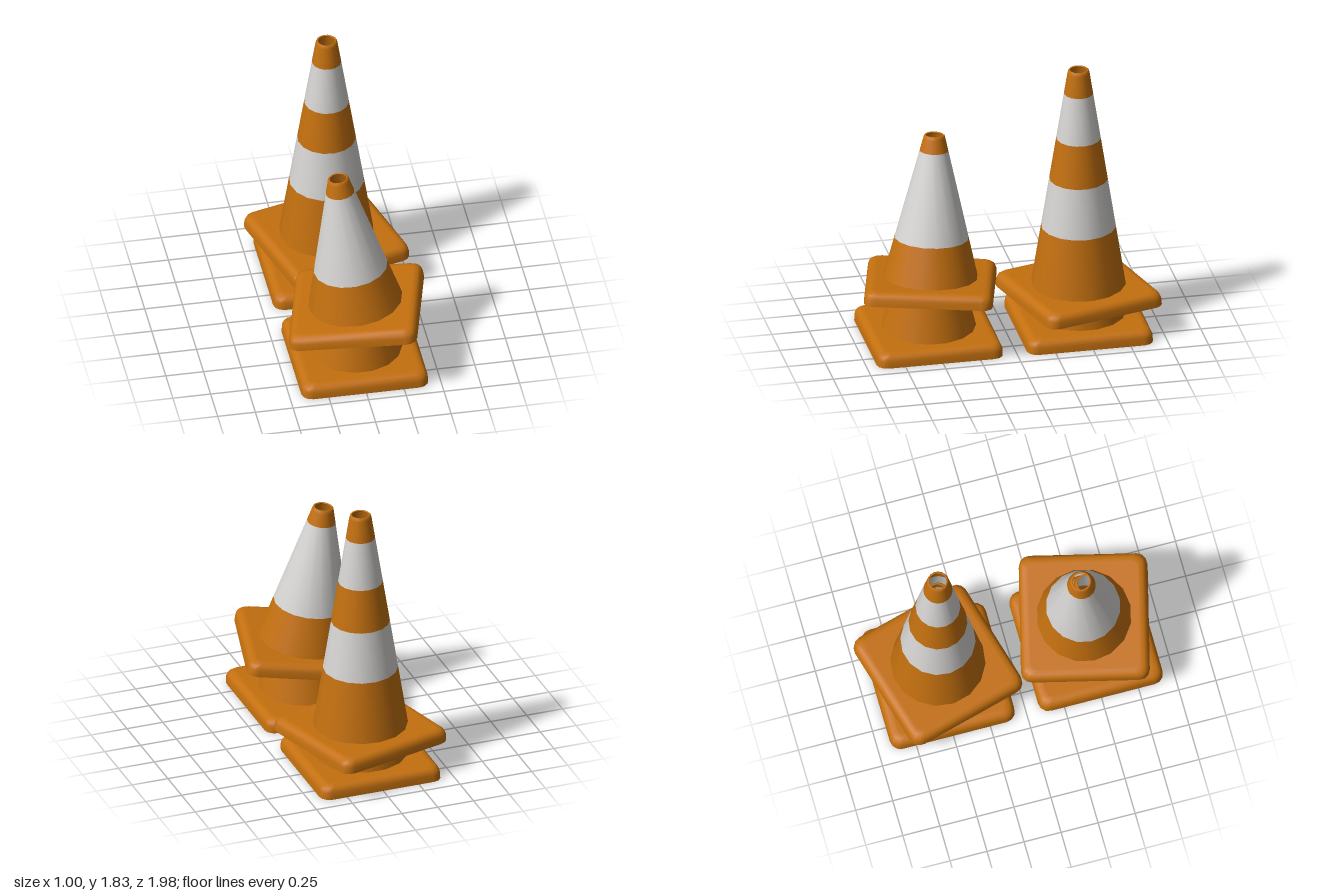
import * as THREE from 'three';

const SIDES = 16;

// Outline of a rounded square: four points on each corner, 16 in all
function roundedSquare(half, radius, y) {
  const pts = [];
  for (let c = 0; c < 4; c++) {
    const mid = Math.PI / 4 + c * Math.PI / 2;
    const cx = Math.sign(Math.cos(mid)) * (half - radius);
    const cz = Math.sign(Math.sin(mid)) * (half - radius);
    for (let j = 0; j < 4; j++) {
      const a = mid + (j - 1.5) * Math.PI / 6;
      pts.push([cx + radius * Math.cos(a), y, cz + radius * Math.sin(a)]);
    }
  }
  return pts;
}

// Circle whose points pair up with the rounded square
function circle(r, y) {
  return Array.from({ length: SIDES }, (_, i) => {
    const a = (i + 0.5) * 2 * Math.PI / SIDES;
    return [r * Math.cos(a), y, r * Math.sin(a)];
  });
}

// Skin a stack of closed loops, listed from the bottom outwards in
function loft(loops) {
  const index = [];
  for (let k = 0; k < loops.length - 1; k++) {
    for (let i = 0; i < SIDES; i++) {
      const n = (i + 1) % SIDES;
      const a = k * SIDES + i, b = k * SIDES + n;
      index.push(a, a + SIDES, b, b, a + SIDES, b + SIDES);
    }
  }
  const g = new THREE.BufferGeometry();
  g.setAttribute('position', new THREE.Float32BufferAttribute(loops.flat(2), 3));
  g.setIndex(index);
  g.computeVertexNormals();
  return g;
}

export function createModel() {
  const orange = new THREE.MeshStandardMaterial({ color: 0xc4700f, side: THREE.DoubleSide });
  orange.name = 'orange plastic';
  const white = new THREE.MeshStandardMaterial({ color: 0xd6d5d3, side: THREE.DoubleSide });
  white.name = 'white band';

  // Hollow foot with softened upper edge and a round opening
  const footGeometry = loft([
    roundedSquare(0.42, 0.07, 0),
    roundedSquare(0.418, 0.07, 0.045),
    roundedSquare(0.408, 0.065, 0.07),
    roundedSquare(0.39, 0.06, 0.085),
    roundedSquare(0.367, 0.05, 0.09),
    roundedSquare(0.355, 0.045, 0.09),
    circle(0.31, 0.09),
  ]);

  // One cone: levels are the heights where the colour changes, orange first
  function makeCone(name, height, levels) {
    const cone = new THREE.Group();
    cone.name = name;
    const foot = new THREE.Mesh(footGeometry, orange);
    foot.name = 'foot';
    cone.add(foot);

    const shoulder = height - 0.025;
    const radiusAt = y => THREE.MathUtils.mapLinear(y, 0.09, shoulder, 0.31, 0.073);
    const stops = [0.075, ...levels, shoulder];
    for (let i = 0; i < stops.length - 1; i++) {
      const profile = [stops[i], stops[i + 1]].map(y => new THREE.Vector2(radiusAt(y), y));
      // Rounded lip around the open tip
      if (i === stops.length - 2) {
        profile.push(
          new THREE.Vector2(0.068, height - 0.007),
          new THREE.Vector2(0.06, height),
          new THREE.Vector2(0.055, height - 0.006),
        );
      }
      const band = new THREE.Mesh(
        new THREE.LatheGeometry(profile, SIDES, Math.PI / SIDES),
        i % 2 ? white : orange,
      );
      band.name = i % 2 ? 'reflectiveBand' : 'coneBand';
      cone.add(band);
    }
    return cone;
  }

  const model = new THREE.Group();
  model.name = 'trafficCones';

  // Tall stack at the back
  const tallBands = [0.5, 0.84, 1.13, 1.45];
  const tallLower = makeCone('tallLowerCone', 1.62, tallBands);
  tallLower.position.set(0, 0, -0.49);
  const tallUpper = makeCone('tallUpperCone', 1.62, tallBands);
  tallUpper.position.set(0, 0.21, -0.49);
  tallUpper.rotation.y = 0.27;

  // Short stack at the front, the upper cone sitting askew
  const shortBands = [0.355, 0.95];
  const shortLower = makeCone('shortLowerCone', 1.06, shortBands);
  shortLower.position.set(0, 0, 0.51);
  const shortUpper = makeCone('shortUpperCone', 1.06, shortBands);
  shortUpper.position.set(0.015, 0.355, 0.502);
  shortUpper.rotation.set(-0.05, -0.25, 0.108, 'XZY');

  model.add(tallLower, tallUpper, shortLower, shortUpper);
  return model;
}
